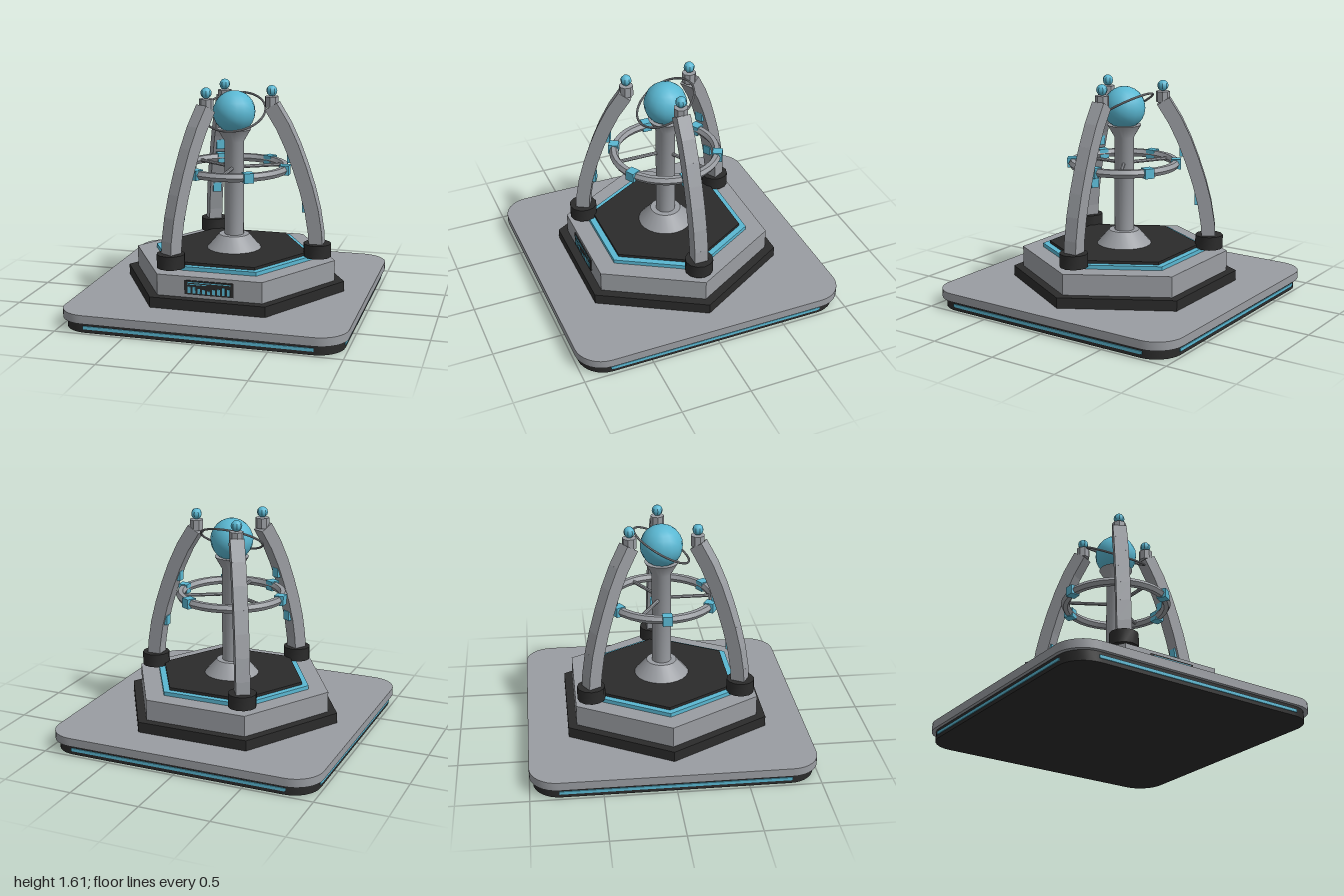
import * as THREE from 'three';
import { toCreasedNormals } from 'three/addons/utils/BufferGeometryUtils.js';

const material = (name, color) => {
  const m = new THREE.MeshStandardMaterial({ color });
  m.name = name;
  return m;
};

export function createModel() {
  const grey = material('metal grey', 0x9a9da2);
  const dark = material('dark trim', 0x2b2b2b);
  const cyan = material('glow cyan', 0x5ab8d3);
  const model = new THREE.Group();
  model.name = 'beacon';

  const add = (parent, name, geometry, mat, x = 0, y = 0, z = 0) => {
    const mesh = new THREE.Mesh(toCreasedNormals(geometry, 0.6), mat);
    mesh.name = name;
    mesh.position.set(x, y, z);
    parent.add(mesh);
    return mesh;
  };
  const box = (w, h, d) => new THREE.BoxGeometry(w, h, d);

  // Square slab with rounded corners, its underside at y
  const slab = (name, half, radius, y, height, mat) => {
    const s = new THREE.Shape();
    const c = half - radius;
    s.absarc(c, c, radius, 0, Math.PI / 2);
    s.absarc(-c, c, radius, Math.PI / 2, Math.PI);
    s.absarc(-c, -c, radius, Math.PI, Math.PI * 1.5);
    s.absarc(c, -c, radius, Math.PI * 1.5, Math.PI * 2);
    const g = new THREE.ExtrudeGeometry(s, { depth: height, bevelEnabled: false, curveSegments: 4 });
    add(model, name, g.rotateX(-Math.PI / 2), mat, 0, y, 0);
  };
  slab('baseUnderside', 0.975, 0.19, 0, 0.07, dark);
  slab('basePlate', 1, 0.2, 0.07, 0.06, grey);

  // Light strip along each side of the base
  for (let i = 0; i < 4; i++) {
    const a = (i * Math.PI) / 2;
    const strip = add(model, 'baseLightStrip', box(1.6, 0.022, 0.009), cyan,
      Math.sin(a) * 0.977, 0.037, Math.cos(a) * 0.977);
    strip.rotation.y = a;
  }

  // Stepped hexagonal plinth: name, radius, bottom, top, colour
  [
    ['plinthFoot', 0.82, 0.13, 0.205, dark],
    ['plinthBody', 0.75, 0.205, 0.355, grey],
    ['plinthLightBand', 0.6, 0.355, 0.383, cyan],
    ['plinthDeck', 0.55, 0.383, 0.403, dark],
  ].forEach(([name, r, y0, y1, mat]) => {
    const g = new THREE.CylinderGeometry(r, r, y1 - y0, 6).rotateY(Math.PI / 6);
    add(model, name, g, mat, 0, (y0 + y1) / 2, 0);
  });

  // Front display with a bar chart
  const display = new THREE.Group();
  display.name = 'display';
  model.add(display);
  add(display, 'displayPanel', box(0.35, 0.1, 0.009), dark, 0, 0.28, 0.6535);
  add(display, 'displayLine', box(0.31, 0.006, 0.003), cyan, 0, 0.317, 0.659);
  add(display, 'displayShortLine', box(0.14, 0.006, 0.003), cyan, -0.085, 0.304, 0.659);
  [0.046, 0.048, 0.036, 0.03, 0.022, 0.036, 0.042, 0.055, 0.045].forEach((h, i) => {
    add(display, 'displayBar', box(0.02, h, 0.003), cyan, -0.14 + i * 0.035, 0.24 + h / 2, 0.659);
  });

  // Central column with flared foot and cup
  const profile = [[0.2, 0.4], [0.11, 0.505], [0.07, 0.505], [0.07, 1.19], [0.122, 1.28], [0, 1.28]];
  add(model, 'column',
    new THREE.LatheGeometry(profile.map(([x, y]) => new THREE.Vector2(x, y)), 24), grey);

  // Orb and its tilted halo
  add(model, 'orb', new THREE.SphereGeometry(0.153, 16, 12), cyan, 0, 1.403, 0);
  const halo = new THREE.TorusGeometry(0.225, 0.008, 8, 40).rotateX(Math.PI / 2);
  add(model, 'orbHalo', halo, grey, 0, 1.405, 0).rotation.x = Math.PI / 6;

  // Middle ring with six nodes and three spokes
  const ring = new THREE.TorusGeometry(0.37, 0.032, 6, 36).rotateX(Math.PI / 2);
  add(model, 'ring', ring, grey, 0, 1, 0);
  for (let i = 0; i < 6; i++) {
    const a = (i * Math.PI) / 3;
    const node = add(model, 'ringNode', box(0.07, 0.07, 0.07), cyan,
      Math.cos(a) * 0.375, 1, -Math.sin(a) * 0.375);
    node.rotation.y = a;
  }
  for (let i = 0; i < 3; i++) {
    const spoke = new THREE.CylinderGeometry(0.013, 0.013, 0.3, 8)
      .rotateZ(Math.PI / 2).translate(0.21, 1, 0);
    add(model, 'ringSpoke', spoke, grey).rotation.y = Math.PI / 6 + (i * Math.PI * 2) / 3;
  }

  // Three curved arms, each built along +x and turned into place
  const path = new THREE.CatmullRomCurve3([
    [0.62, 0.4], [0.607, 0.58], [0.566, 0.79], [0.472, 1.08], [0.382, 1.29], [0.282, 1.455],
  ].map(([x, y]) => new THREE.Vector3(x, y, 0)));
  const joints = path.getSpacedPoints(7);
  for (let i = 0; i < 3; i++) {
    const arm = new THREE.Group();
    arm.name = 'arm';
    arm.rotation.y = (i * Math.PI * 2) / 3;
    model.add(arm);
    add(arm, 'armFoot', new THREE.CylinderGeometry(0.1, 0.1, 0.097, 12), dark, 0.62, 0.428, 0);
    for (let j = 0; j < 7; j++) {
      const dir = joints[j + 1].clone().sub(joints[j]);
      const mid = joints[j].clone().add(joints[j + 1]).multiplyScalar(0.5);
      const segment = add(arm, 'armSegment', box(0.1, dir.length() + 0.008, 0.1), grey, mid.x, mid.y, 0);
      segment.rotation.z = Math.atan2(-dir.x, dir.y);
    }
    // Lights on the inner side
    add(arm, 'armLowerLight', box(0.04, 0.07, 0.06), cyan, 0.53, 0.737, 0);
    add(arm, 'armUpperLight', box(0.04, 0.07, 0.06), cyan, 0.418, 1.092, 0);
    // Tip with a small lamp
    add(arm, 'armCap', new THREE.CylinderGeometry(0.05, 0.05, 0.075, 8), grey, 0.275, 1.487, 0);
    add(arm, 'armLamp', new THREE.SphereGeometry(0.04, 8, 6), cyan, 0.275, 1.565, 0);
  }
  return model;
}
